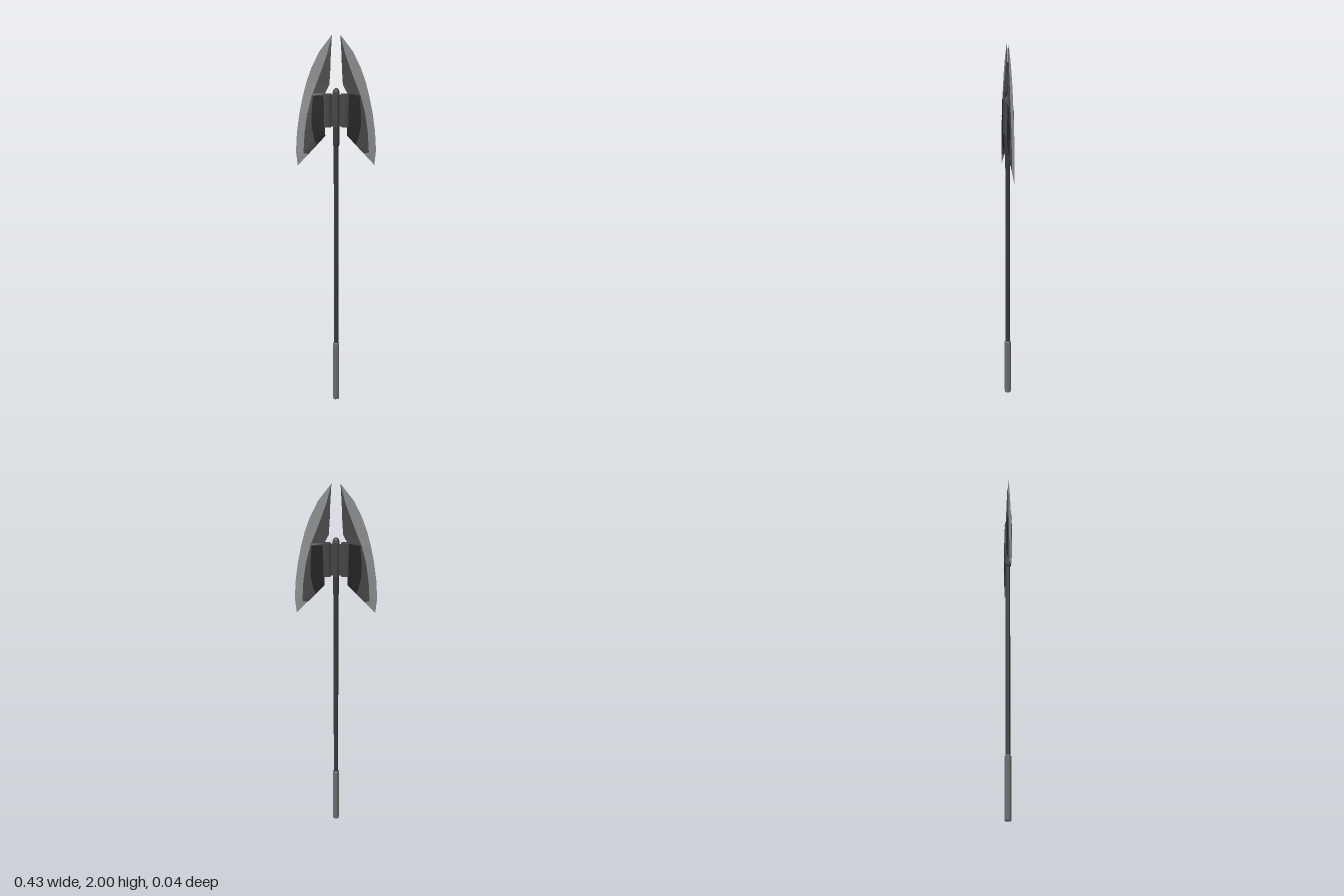
import * as THREE from 'three';

const mat = (name, color) => {
  const m = new THREE.MeshStandardMaterial({ color });
  m.name = name;
  return m;
};

export function createModel() {
  const edgeSteel = mat('edge steel', 0x8e8f90);
  const midSteel = mat('mid steel', 0x484848);
  const blackSteel = mat('black steel', 0x242424);
  const socketSteel = mat('socket steel', 0x454545);
  const shaftDark = mat('dark shaft', 0x393939);
  const gripGrey = mat('grip grey', 0x6c6c6e);

  const group = new THREE.Group();
  const add = (parent, name, geo, material) => {
    const m = new THREE.Mesh(geo, material);
    m.name = name;
    parent.add(m);
    return m;
  };
  // faceted turned part from [radius, y] points
  const turned = (name, pts, material) => {
    const g = new THREE.LatheGeometry(pts.map(p => new THREE.Vector2(...p)), 8, Math.PI / 8).toNonIndexed();
    g.computeVertexNormals();
    return add(group, name, g, material);
  };

  // pole, from the ground up
  turned('grip', [[0, 0], [0.017, 0], [0.018, 0.006], [0.018, 0.325], [0.0135, 0.332]], gripGrey);
  turned('shaft', [[0.0135, 0.32], [0.0135, 1.44]], shaftDark);
  turned('lowerSleeve', [[0.0135, 1.425], [0.0175, 1.43], [0.0175, 1.525]], shaftDark);
  turned('upperSleeve', [[0.0175, 1.525], [0.0175, 1.70]], socketSteel);
  turned('finial', [[0.019, 1.695], [0.019, 1.708], [0.015, 1.72], [0.008, 1.727], [0, 1.729]], socketSteel);

  // blade cross-sections from tip to heel: inner, dark limit, bevel line, cutting edge, thickness factor
  const rows = [
    [[0.022, 2.0], [0.022, 2.0], [0.022, 2.0], [0.022, 2.0], 0],
    [[0.028, 1.90], [0.028, 1.90], [0.046, 1.905], [0.088, 1.915], 0.35],
    [[0.031, 1.82], [0.031, 1.82], [0.075, 1.825], [0.130, 1.83], 0.5],
    [[0.036, 1.745], [0.036, 1.745], [0.104, 1.75], [0.157, 1.755], 0.7],
    [[0.060, 1.70], [0.060, 1.70], [0.124, 1.70], [0.171, 1.70], 0.9],
    [[0.060, 1.69], [0.122, 1.69], [0.128, 1.69], [0.174, 1.69], 0.92],
    [[0.060, 1.60], [0.130, 1.60], [0.152, 1.60], [0.193, 1.60], 1],
    [[0.060, 1.53], [0.130, 1.53], [0.167, 1.50], [0.207, 1.50], 1],
    [[0.060, 1.50], [0.116, 1.46], [0.174, 1.39], [0.213, 1.40], 1],
    [[0.058, 1.48], [0.104, 1.43], [0.147, 1.384], [0.205, 1.322], 0.85],
  ];
  const depth = [0.0135, 0.011, 0.007, 0];
  const point = (r, c, side) => [...rows[r][c], side * depth[c] * rows[r][4]];

  // one colour band of the blade, between columns c and c + 1
  const band = c => {
    const v = [];
    const quad = (a, b, d, e) => v.push(...a, ...b, ...d, ...a, ...d, ...e);
    const last = rows.length - 1;
    for (let r = 0; r < last; r++) {
      quad(point(r, c, 1), point(r + 1, c, 1), point(r + 1, c + 1, 1), point(r, c + 1, 1));
      quad(point(r, c + 1, -1), point(r + 1, c + 1, -1), point(r + 1, c, -1), point(r, c, -1));
      // back wall facing the pole; the band above the dark patch owns it there
      if (c === (r < 4 ? 1 : 0)) {
        quad(point(r, c, -1), point(r + 1, c, -1), point(r + 1, c, 1), point(r, c, 1));
      }
    }
    // slanted heel
    quad(point(last, c, 1), point(last, c, -1), point(last, c + 1, -1), point(last, c + 1, 1));
    const g = new THREE.BufferGeometry();
    g.setAttribute('position', new THREE.Float32BufferAttribute(v, 3));
    g.computeVertexNormals();
    return g;
  };
  const bands = [['bladeBody', blackSteel], ['bladeBevel', midSteel], ['cuttingEdge', edgeSteel]]
    .map(([name, m], c) => [name, band(c), m]);

  // chamfered cheek that clamps the blade
  const cheek = new THREE.Shape([
    [0.026, -0.008], [0.032, -0.0145], [0.045, -0.0155], [0.060, -0.015], [0.067, -0.012],
    [0.067, 0.012], [0.060, 0.015], [0.045, 0.0155], [0.032, 0.0145], [0.026, 0.008],
  ].map(p => new THREE.Vector2(...p)));
  const cheekGeo = new THREE.ExtrudeGeometry(cheek, { depth: 0.175, bevelEnabled: false });
  cheekGeo.rotateX(-Math.PI / 2).translate(0, 1.525, 0);

  for (const [name, turn] of [['leftBlade', 0], ['rightBlade', Math.PI]]) {
    const side = new THREE.Group();
    side.name = name;
    side.rotation.y = turn;
    bands.forEach(b => add(side, ...b));
    add(side, 'cheek', cheekGeo, socketSteel);
    add(side, 'neck', new THREE.BoxGeometry(0.03, 0.165, 0.011), socketSteel).position.set(0.02, 1.612, 0);
    group.add(side);
  }
  return group;
}
